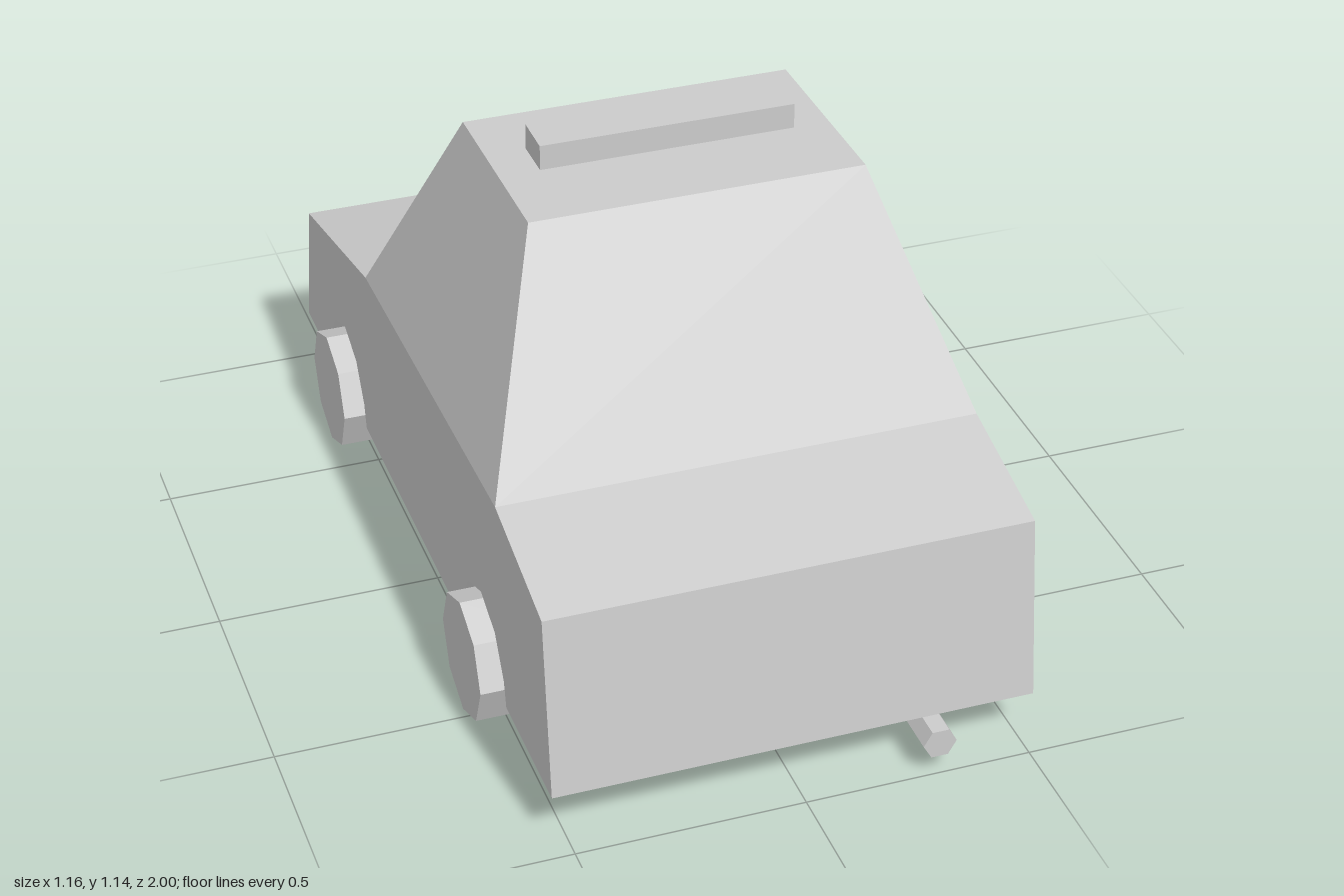
import * as THREE from 'three';

const LEFT = 0.52, RIGHT = -0.535; // body sides

export function createModel() {
  const car = new THREE.Group();
  car.name = 'car';
  const material = new THREE.MeshStandardMaterial({ color: 0xcccccc, flatShading: true });
  const add = (name, geometry, x = 0, y = 0, z = 0) => {
    const mesh = new THREE.Mesh(geometry, material);
    mesh.name = name;
    mesh.position.set(x, y, z);
    car.add(mesh);
    return mesh;
  };

  // Lower body: side profile (z, y) with wheel arches, extruded across the car
  const arch = (cz) => [
    [-0.168, 0.122], [-0.155, 0.18], [-0.097, 0.265], [0, 0.303],
    [0.097, 0.265], [0.155, 0.18], [0.168, 0.122],
  ].map(([dz, y]) => new THREE.Vector2(cz + dz, y));
  const profile = new THREE.Shape([
    new THREE.Vector2(-1, 0.122),
    ...arch(-0.627),
    ...arch(0.48),
    new THREE.Vector2(0.96, 0.122),
    new THREE.Vector2(0.913, 0.53),
    new THREE.Vector2(0.605, 0.6),
    new THREE.Vector2(-0.4, 0.565),
    new THREE.Vector2(-0.937, 0.437),
  ]);
  const body = new THREE.ExtrudeGeometry(profile, { depth: LEFT - RIGHT, bevelEnabled: false });
  body.rotateY(-Math.PI / 2);
  add('body', body, LEFT);

  // Cabin: a box whose corners taper towards the roof
  const cabin = new THREE.BoxGeometry(1, 1, 1);
  const p = cabin.attributes.position;
  for (let i = 0; i < p.count; i++) {
    const top = p.getY(i) > 0, left = p.getX(i) > 0, front = p.getZ(i) > 0;
    p.setXYZ(i,
      top ? (left ? 0.357 : -0.375) : (left ? LEFT : RIGHT),
      top ? (front ? 1.09 : 1.08) : (front ? 0.6 : 0.565),
      top ? (front ? 0.345 : -0.12) : (front ? 0.605 : -0.4));
  }
  cabin.computeVertexNormals();
  add('cabin', cabin);

  // Roof sign
  add('roofSign', new THREE.BoxGeometry(0.562, 0.06, 0.1), -0.004, 1.112, 0.09);

  // Eight-sided wheels: inner and outer x, then z
  const wheels = [
    ['frontLeftWheel', 0.41, 0.58, 0.473],
    ['frontRightWheel', -0.58, -0.395, 0.473],
    ['backLeftWheel', 0.38, 0.565, -0.627],
    ['backRightWheel', -0.58, -0.395, -0.627],
  ];
  for (const [name, x0, x1, z] of wheels) {
    const wheel = new THREE.CylinderGeometry(0.14, 0.14, x1 - x0, 8);
    wheel.rotateZ(Math.PI / 2);
    add(name, wheel, (x0 + x1) / 2, 0.14, z);
  }

  // Six-sided pipe under the front end
  const pipe = new THREE.CylinderGeometry(0.037, 0.037, 0.21, 6, 1, false, Math.PI / 2);
  pipe.rotateX(Math.PI / 2);
  add('pipe', pipe, 0.295, 0.077, 0.895);

  return car;
}
